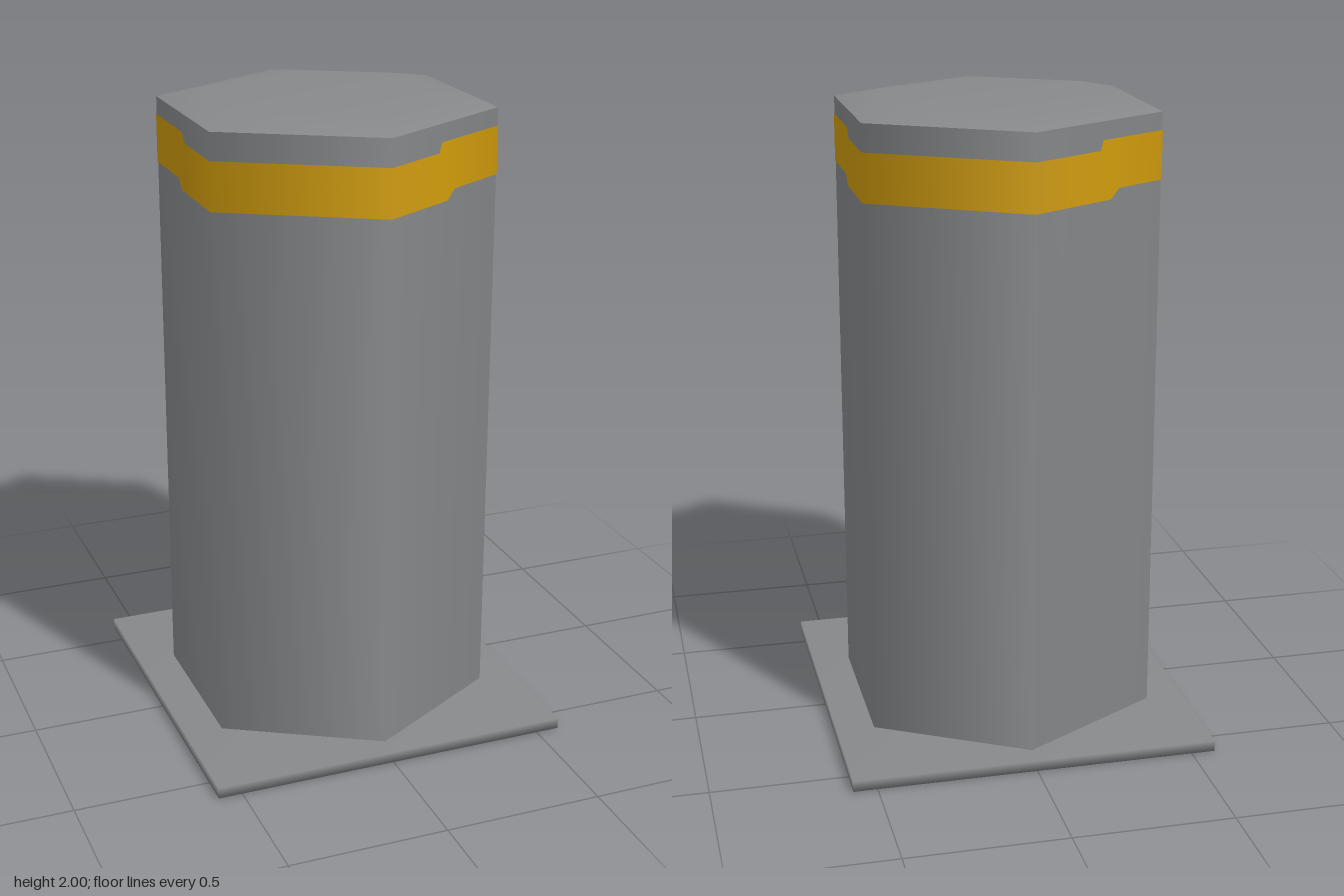
import * as THREE from 'three';
import { mergeVertices } from 'three/addons/utils/BufferGeometryUtils.js';

const R = 0.525, HX = R * Math.cos(Math.PI / 6), HZ = R / 2;
const LOW = [1.735, 1.885], HIGH = [1.765, 1.915];

// Hexagonal post surfaces, one corner facing the front
const hexLathe = (profile) =>
  new THREE.LatheGeometry(profile.map(([r, y]) => new THREE.Vector2(r, y)), 6);

// Half of the band, from the front corner round to the back one.
// Each column is [x, z, bottom, top]; the band steps up and down again.
function halfBand(shift) {
  const onFront = (x) => [x, R - (x / HX) * HZ];
  return [
    [0, R, LOW[0], LOW[1]],
    [...onFront(0.195 + shift), LOW[0], LOW[1]],
    [...onFront(0.205 + shift), LOW[0], HIGH[1]],
    [...onFront(0.235 + shift), LOW[0], HIGH[1]],
    [...onFront(0.265 + shift), HIGH[0], HIGH[1]],
    [HX, HZ, HIGH[0], HIGH[1]],
    [HX, 0.04, HIGH[0], HIGH[1]],
    [HX, 0.01, LOW[0], HIGH[1]],
    [HX, 0, LOW[0], HIGH[1]],
    [HX, -0.03, LOW[0], LOW[1]],
    [HX, -HZ, LOW[0], LOW[1]],
  ];
}

function bandGeometry() {
  const back = halfBand(0.03).map(([x, z, lo, hi]) => [-x, -z, lo, hi]);
  const columns = [...halfBand(0), ...back];
  const pos = [], nor = [], index = [], n = columns.length, out = 1.004;
  columns.forEach(([x, z, lo, hi], i) => {
    const len = Math.hypot(x, z), a = 2 * i, b = 2 * ((i + 1) % n);
    for (const y of [lo, hi]) {
      pos.push(x * out, y, z * out);
      nor.push(x / len, 0, z / len);
    }
    index.push(a, b, b + 1, a, b + 1, a + 1);
  });
  const g = new THREE.BufferGeometry();
  g.setAttribute('position', new THREE.Float32BufferAttribute(pos, 3));
  g.setAttribute('normal', new THREE.Float32BufferAttribute(nor, 3));
  g.setIndex(index);
  return g;
}

// Ground plate with softly shaded edges
function plateGeometry() {
  let g = new THREE.BoxGeometry(1.15, 0.035, 1.19);
  g.deleteAttribute('normal');
  g.deleteAttribute('uv');
  g = mergeVertices(g);
  g.computeVertexNormals();
  return g.translate(0, 0.0175, 0);
}

export function createModel() {
  const grey = new THREE.MeshStandardMaterial({ color: 0x87898b });
  grey.name = 'metal grey';
  const yellow = new THREE.MeshStandardMaterial({ color: 0xd09c0c });
  yellow.name = 'warning yellow';

  const group = new THREE.Group();
  group.name = 'bollard';
  const add = (name, geometry, material) => {
    const mesh = new THREE.Mesh(geometry, material);
    mesh.name = name;
    group.add(mesh);
  };

  add('basePlate', plateGeometry(), grey);
  add('post', hexLathe([[R, 0.02], [R, 1.97]]), grey);
  add('bevelledCap', hexLathe([[R, 1.97], [0.375, 2], [0, 2]]), grey);
  add('warningBand', bandGeometry(), yellow);
  return group;
}
